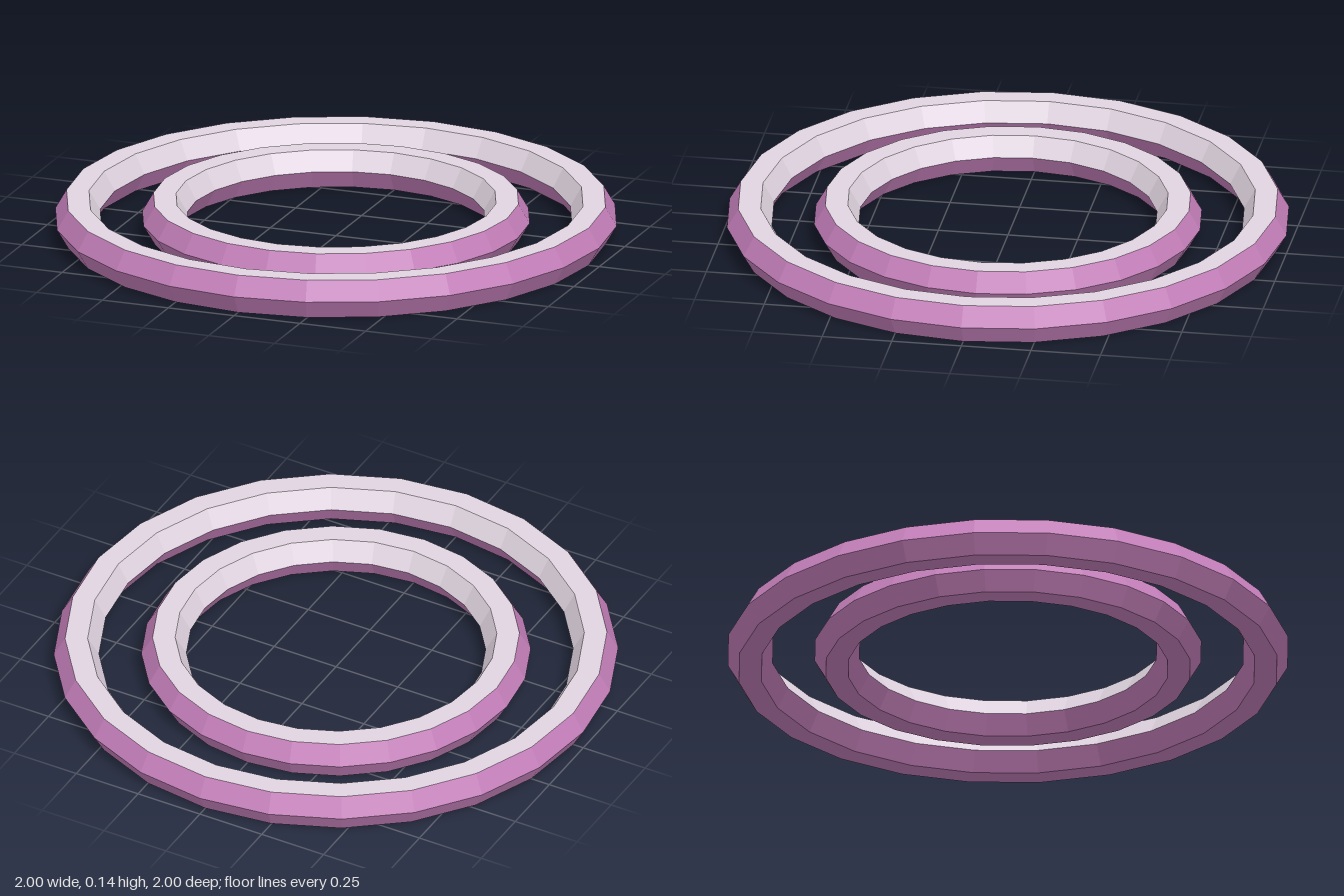
import * as THREE from 'three';

const TUBE = 0.08; // radius of the hexagonal section
const HALF_HEIGHT = TUBE * Math.sin(Math.PI / 3);
const SIDES = 24;

const purple = new THREE.MeshStandardMaterial({ color: 0xc47fba, flatShading: true });
const pale = new THREE.MeshStandardMaterial({ color: 0xe0d4e0, flatShading: true });

// Revolve the hexagon corners first..last (counted from the outer edge, going up)
function band(name, radius, first, last, material) {
  const points = [];
  for (let k = first; k <= last; k++) {
    const a = (k * Math.PI) / 3;
    points.push(new THREE.Vector2(radius + TUBE * Math.cos(a), HALF_HEIGHT + TUBE * Math.sin(a)));
  }
  const geometry = new THREE.LatheGeometry(points, SIDES).toNonIndexed();
  geometry.computeVertexNormals();
  const mesh = new THREE.Mesh(geometry, material);
  mesh.name = name;
  return mesh;
}

// A ring with a pale top and upper inner bevel, purple everywhere else
function ring(name, radius) {
  const group = new THREE.Group();
  group.name = name;
  group.add(
    band(name + 'PaleTop', radius, 1, 3, pale),
    band(name + 'PurpleBody', radius, 3, 7, purple)
  );
  return group;
}

export function createModel() {
  const model = new THREE.Group();
  model.name = 'concentricRings';
  model.add(ring('outerRing', 0.92), ring('innerRing', 0.61));
  return model;
}
